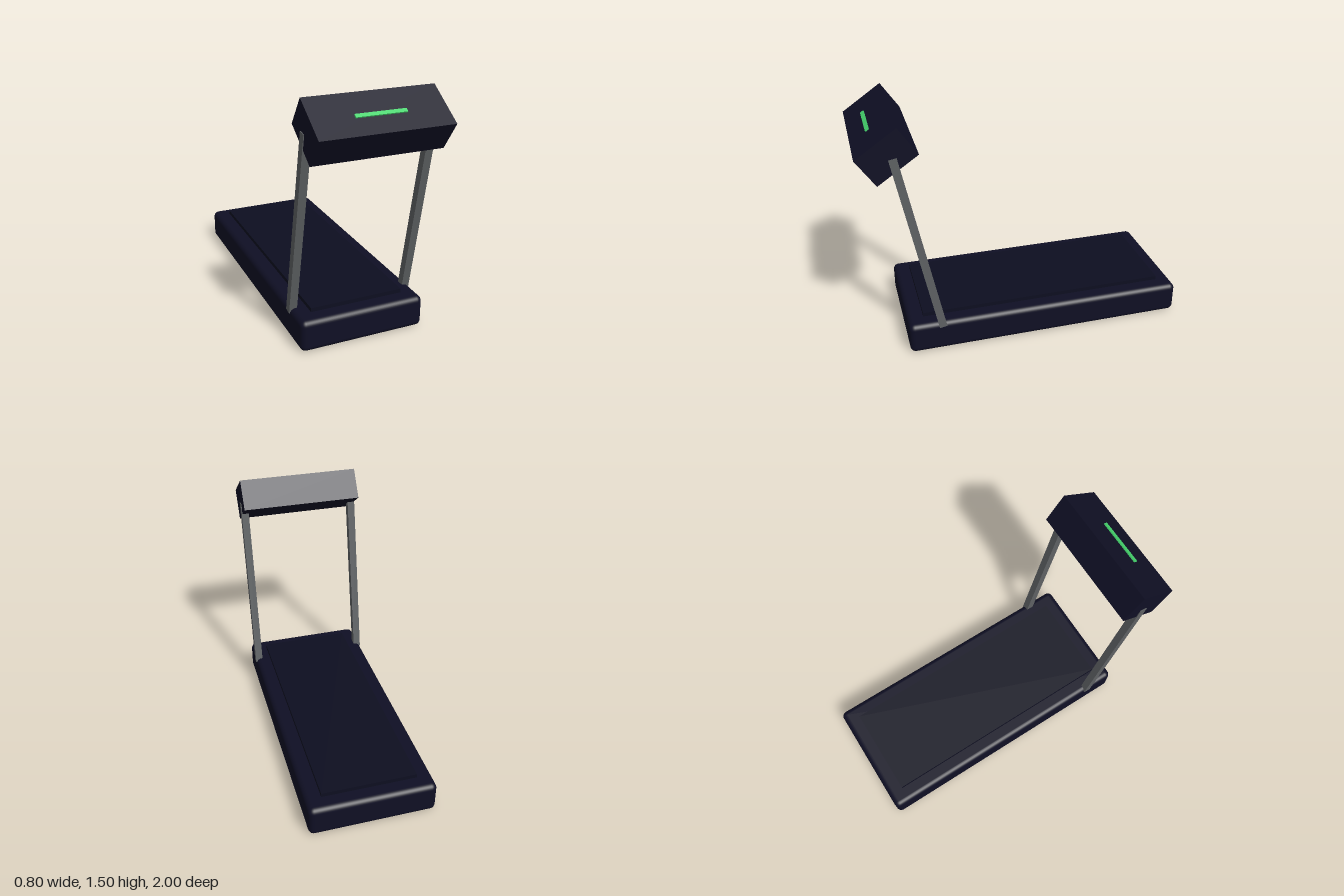
import * as THREE from 'three';
import { RoundedBoxGeometry } from 'three/addons/geometries/RoundedBoxGeometry.js';

const material = (name, color) => {
  const m = new THREE.MeshStandardMaterial({ color });
  m.name = name;
  return m;
};

export function createModel() {
  const model = new THREE.Group();
  model.name = 'treadmill';

  const navy = material('dark navy', 0x0f0f24);
  const beltNavy = material('belt navy', 0x0d0e20);
  const grey = material('post grey', 0x5e6163);
  const green = material('display green', 0x44d46c);

  const add = (parent, name, geometry, mat, x, y, z, tilt = 0) => {
    const mesh = new THREE.Mesh(geometry, mat);
    mesh.name = name;
    mesh.position.set(x, y, z);
    mesh.rotation.x = tilt;
    parent.add(mesh);
    return mesh;
  };

  // Rounded base with the running belt raised slightly above it
  add(model, 'deck', new RoundedBoxGeometry(0.787, 0.197, 1.775, 4, 0.035), navy, 0, 0.0985, -0.1125);
  add(model, 'runningBelt', new THREE.BoxGeometry(0.59, 0.04, 1.575), beltNavy, 0, 0.202, -0.1125);

  // Leaning uprights, standing just proud of the deck and console sides
  for (const side of [-1, 1]) {
    add(model, side > 0 ? 'leftPost' : 'rightPost',
      new THREE.BoxGeometry(0.048, 1.175, 0.048), grey, side * 0.374, 0.745, 0.68, 0.196);
  }

  // Tilted console with a thin lit display strip
  const console = new THREE.Group();
  console.name = 'console';
  console.position.set(0, 1.333, 0.825);
  console.rotation.x = 0.6;
  model.add(console);
  add(console, 'consoleBody', new THREE.BoxGeometry(0.787, 0.2, 0.29), navy, 0, 0, 0);
  add(console, 'displayStrip', new THREE.BoxGeometry(0.3, 0.0095, 0.024), green, 0, 0.103, 0.018);

  return model;
}
